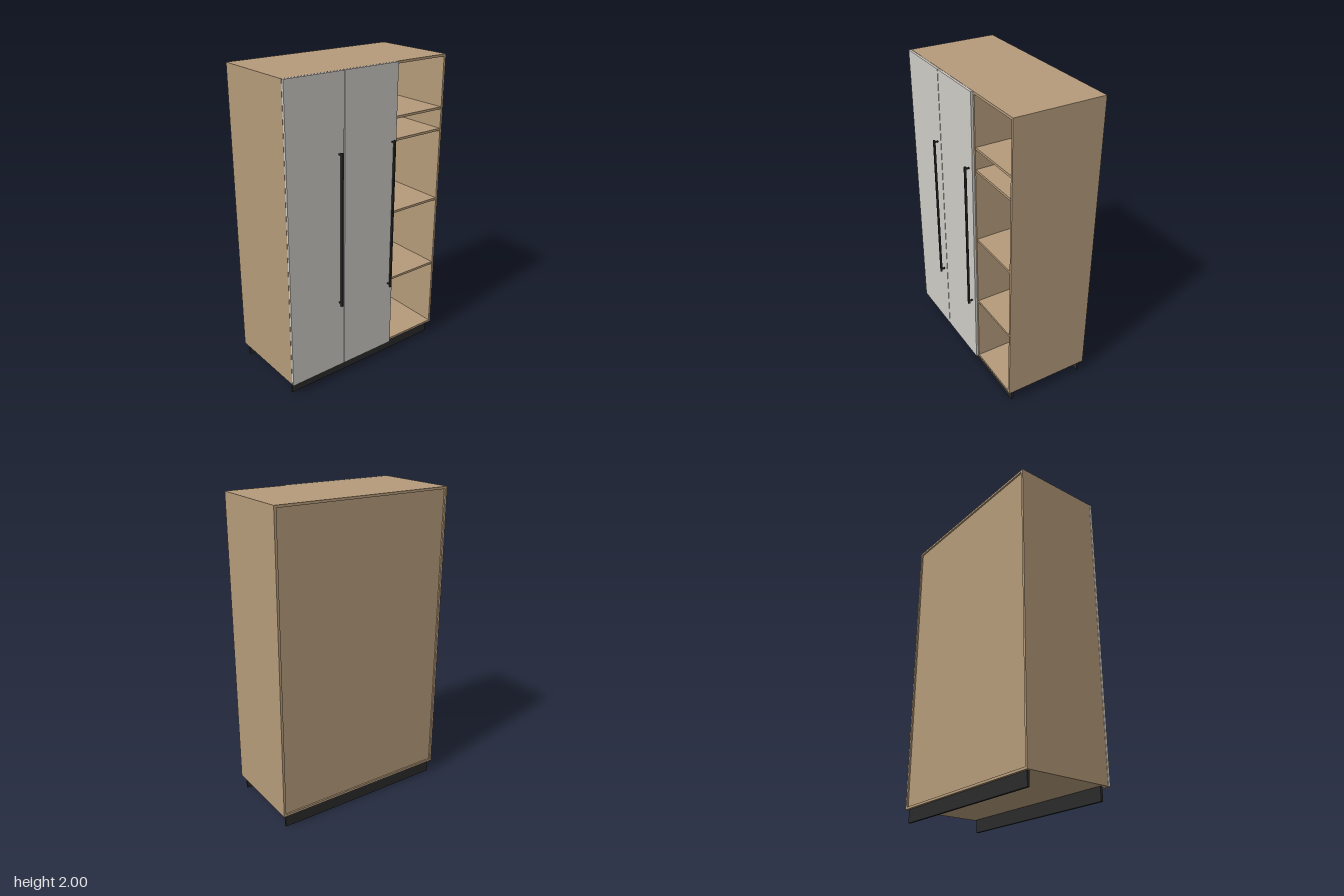
import * as THREE from 'three';

export function createModel() {
  const model = new THREE.Group();
  const wood = new THREE.MeshStandardMaterial({ color: 0xb59b7a });
  const paint = new THREE.MeshStandardMaterial({ color: 0xcfccc7 });
  const black = new THREE.MeshStandardMaterial({ color: 0x2a2a2a });
  const metal = new THREE.MeshStandardMaterial({ color: 0xcccccc });

  // Box given by its minimum and maximum on each axis
  function box(name, material, [x0, x1], [y0, y1], [z0, z1], parent = model) {
    const mesh = new THREE.Mesh(new THREE.BoxGeometry(x1 - x0, y1 - y0, z1 - z0), material);
    mesh.position.set((x0 + x1) / 2, (y0 + y1) / 2, (z0 + z1) / 2);
    mesh.name = name;
    parent.add(mesh);
    return mesh;
  }

  const T = 0.015; // board thickness
  const W = 0.6, bottom = 0.085, top = 2;
  const back = -0.315, front = 0.265;
  const depth = [back, front];
  const inner = [back + 0.02, front];

  // Carcass
  box('leftSide', wood, [W - T, W], [bottom, top], depth);
  box('rightSide', wood, [-W, -W + T], [bottom, top], depth);
  box('topPanel', wood, [-W + T, W - T], [top - T, top], depth);
  box('bottomPanel', wood, [-W + T, W - T], [bottom, bottom + T], depth);
  box('backPanel', wood, [-W + T, W - T], [bottom + T, top - T], [back + 0.01, back + 0.02]);
  box('partition', wood, [0.19, 0.205], [bottom + T, top - T], inner);

  // Open bay shelves, and the high shelf behind the doors
  for (const y of [0.565, 1.045, 1.523, 1.663]) {
    box('shelf', wood, [0.205, W - T], [y - T / 2, y + T / 2], [inner[0], front - 0.003]);
  }
  box('wardrobeShelf', wood, [-W + T, 0.19], [1.655, 1.67], [inner[0], front - 0.01]);

  // Clothes rail
  const rail = new THREE.Mesh(new THREE.CylinderGeometry(0.011, 0.011, 2 * (W - T), 20), metal);
  rail.rotation.z = Math.PI / 2;
  rail.position.set(0, 1.585, -0.02);
  rail.name = 'clothesRail';
  model.add(rail);

  // Doors with long bar handles
  for (const [x0, x1, handleX] of [[-0.6, -0.203, -0.24], [-0.198, 0.196, 0.16]]) {
    const door = new THREE.Group();
    door.name = 'door';
    box('doorPanel', paint, [x0, x1], [bottom, top], [0.267, 0.282], door);
    box('handleBar', black, [handleX - 0.006, handleX + 0.006], [0.54, 1.54], [0.303, 0.315], door);
    for (const y of [0.557, 1.527]) {
      box('handlePost', black, [handleX - 0.004, handleX + 0.004], [y - 0.004, y + 0.004], [0.282, 0.304], door);
    }
    model.add(door);
  }

  // Front and back plinths
  for (const z of [0.23, -0.292]) {
    box('plinth', black, [-0.58, 0.58], [0, bottom], [z - 0.0075, z + 0.0075]);
  }

  return model;
}
